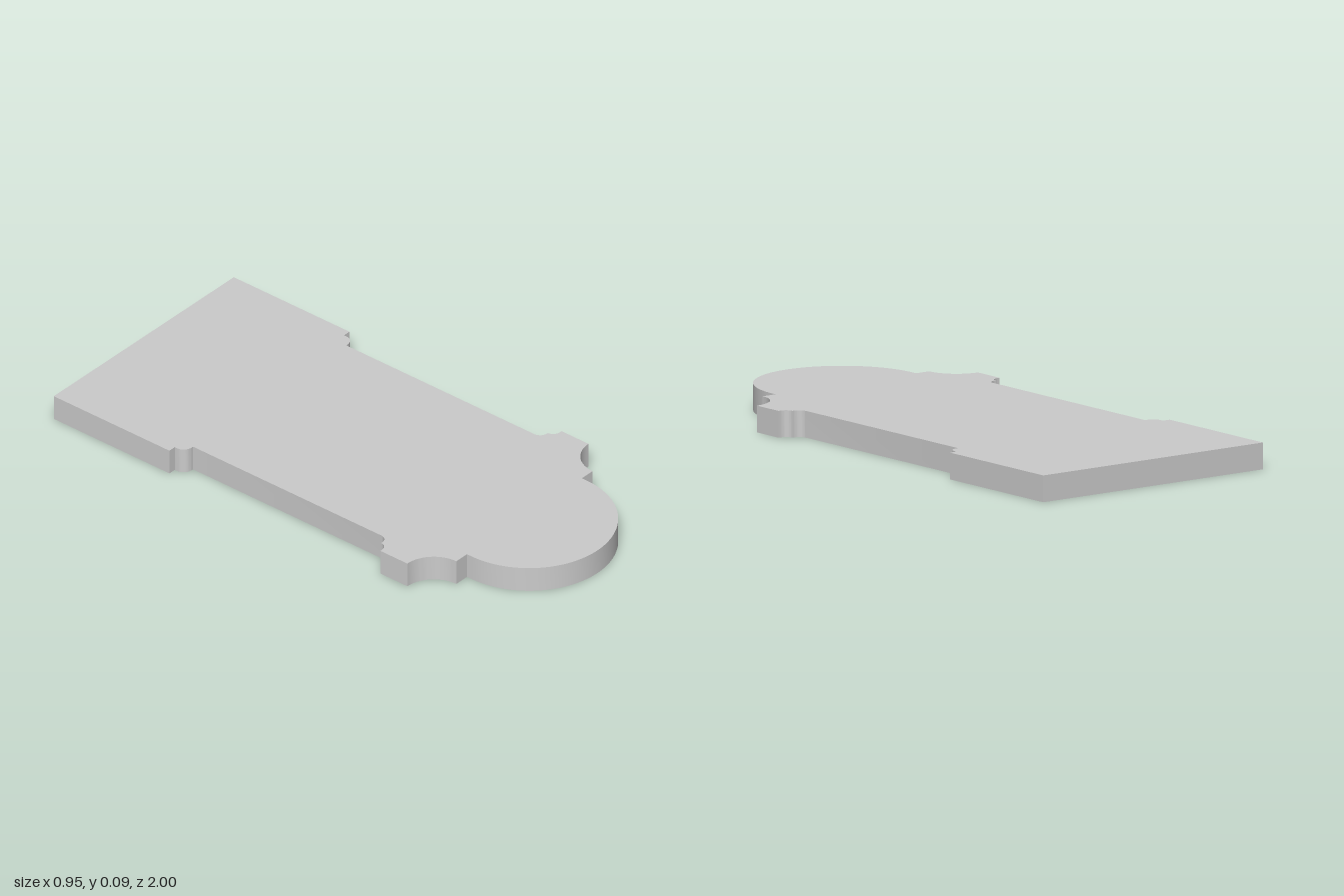
import * as THREE from 'three';
import { toCreasedNormals } from 'three/addons/utils/BufferGeometryUtils.js';

const HEIGHT = 0.092;
const QUARTER = Math.PI / 2;

// Points along an arc in the (x, z) plane.
function arc(cx, cz, r, from, to, steps) {
  return Array.from({ length: steps + 1 }, (_, i) => {
    const a = from + ((to - from) * i) / steps;
    return [cx + r * Math.cos(a), cz + r * Math.sin(a)];
  });
}

export function createModel() {
  // Left half of the outline, from the back edge round to the front tip.
  const half = [
    [0.47, -1], [0.47, -0.49], // rear block
    [0.442, -0.49],
    ...arc(0.407, -0.48, 0.035, 0, QUARTER, 10), // rounded step
    [0.4, -0.445],
    ...arc(0.43, 0.385, 0.03, Math.PI, QUARTER, 10), // small hollow moulding
    ...arc(0.463, 0.415, 0.028, Math.PI, QUARTER, 10),
    [0.473, 0.443], [0.473, 0.562], // collar
    ...arc(0.473, 0.679, 0.117, -QUARTER, -Math.PI, 20), // large hollow moulding
    [0.3, 0.679],
    ...arc(0, 0.7, 0.3, 0, QUARTER, 32), // rounded nose
  ];
  half[half.length - 1][0] = 0;

  // Mirror to the right half, skipping the shared tip.
  const mirrored = half.slice(0, -1).reverse().map(([x, z]) => [-x, z]);
  const outline = [...half, ...mirrored].map(([x, z]) => new THREE.Vector2(x, -z));

  const slab = new THREE.ExtrudeGeometry(new THREE.Shape(outline), {
    depth: HEIGHT,
    bevelEnabled: false,
  });
  slab.rotateX(-QUARTER); // lay flat with its underside on the floor

  const body = new THREE.Mesh(
    toCreasedNormals(slab, 0.4),
    new THREE.MeshStandardMaterial({ color: 0xcccccc })
  );
  body.name = 'profiledSlab';

  const model = new THREE.Group();
  model.name = 'mouldedPlate';
  model.add(body);
  return model;
}
